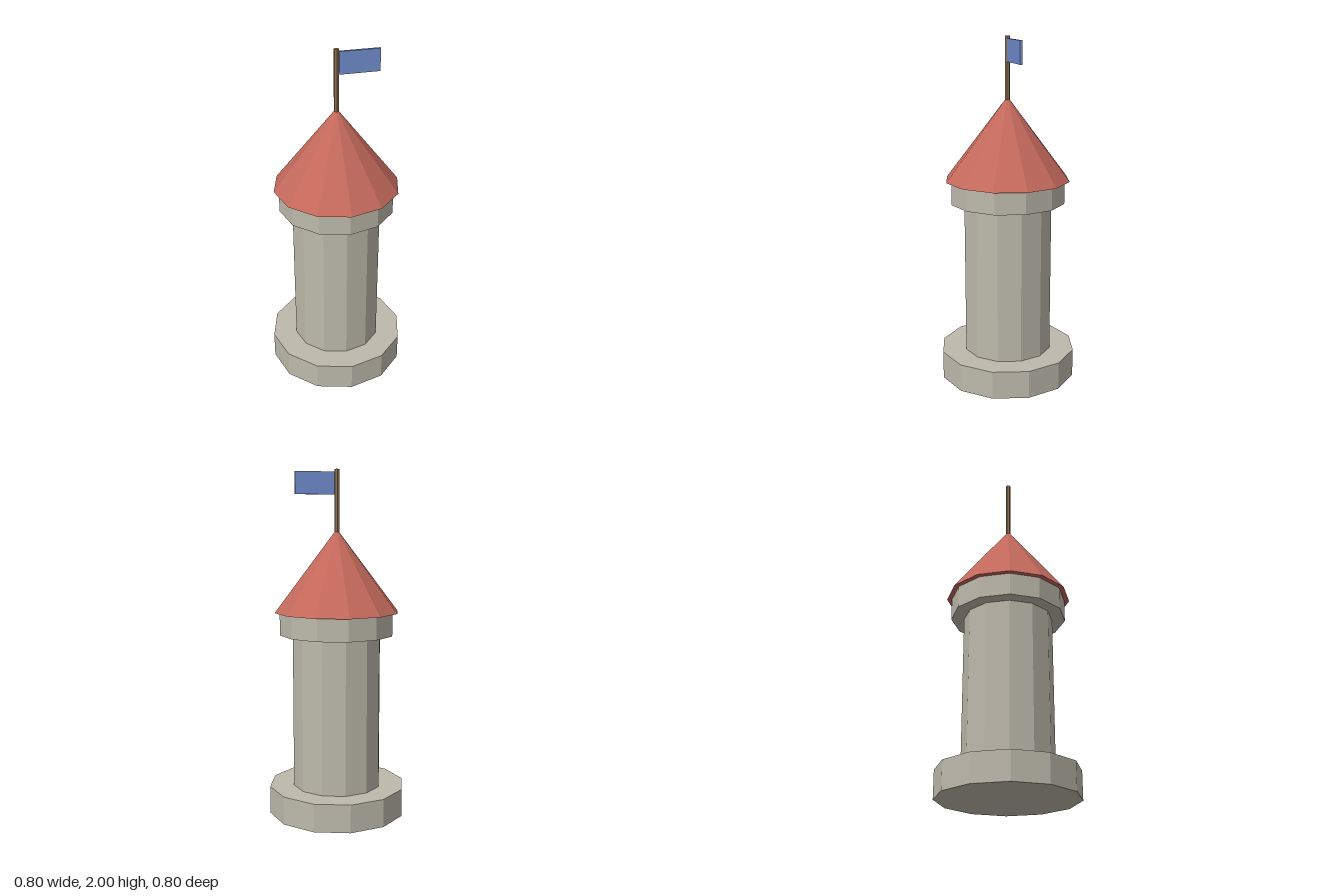
import * as THREE from 'three';

const SIDES = 12;

function flat(name, color) {
  const m = new THREE.MeshStandardMaterial({ color });
  m.name = name;
  m.flatShading = true;
  return m;
}

export function createModel() {
  const group = new THREE.Group();
  group.name = 'watchtower';

  const stone = flat('stone', 0xbdb9ab);
  const tile = flat('roof tile', 0xc4695c);
  const wood = flat('wood', 0x8b6f4e);
  const cloth = flat('flag cloth', 0x6f8bcb);

  // Upright prism or cone spanning y0 to y1
  function column(name, material, rBottom, rTop, y0, y1, sides = SIDES) {
    const geo = rTop === 0
      ? new THREE.ConeGeometry(rBottom, y1 - y0, sides)
      : new THREE.CylinderGeometry(rTop, rBottom, y1 - y0, sides);
    const mesh = new THREE.Mesh(geo, material);
    mesh.name = name;
    mesh.position.y = (y0 + y1) / 2;
    group.add(mesh);
  }

  // Stone body
  column('base', stone, 0.4, 0.4, 0, 0.163);
  column('shaft', stone, 0.258, 0.258, 0.163, 1.06);
  column('collar', stone, 0.333, 0.333, 1.06, 1.19);

  // Roof and flagpole
  column('roof', tile, 0.362, 0, 1.19, 1.665);
  column('flagpole', wood, 0.0145, 0.0145, 1.62, 2, 6);

  // Flag flying to the tower's left
  const flag = new THREE.Mesh(new THREE.BoxGeometry(0.226, 0.127, 0.0145), cloth);
  flag.name = 'flag';
  flag.position.set(0.127, 1.922, 0);
  group.add(flag);

  return group;
}
